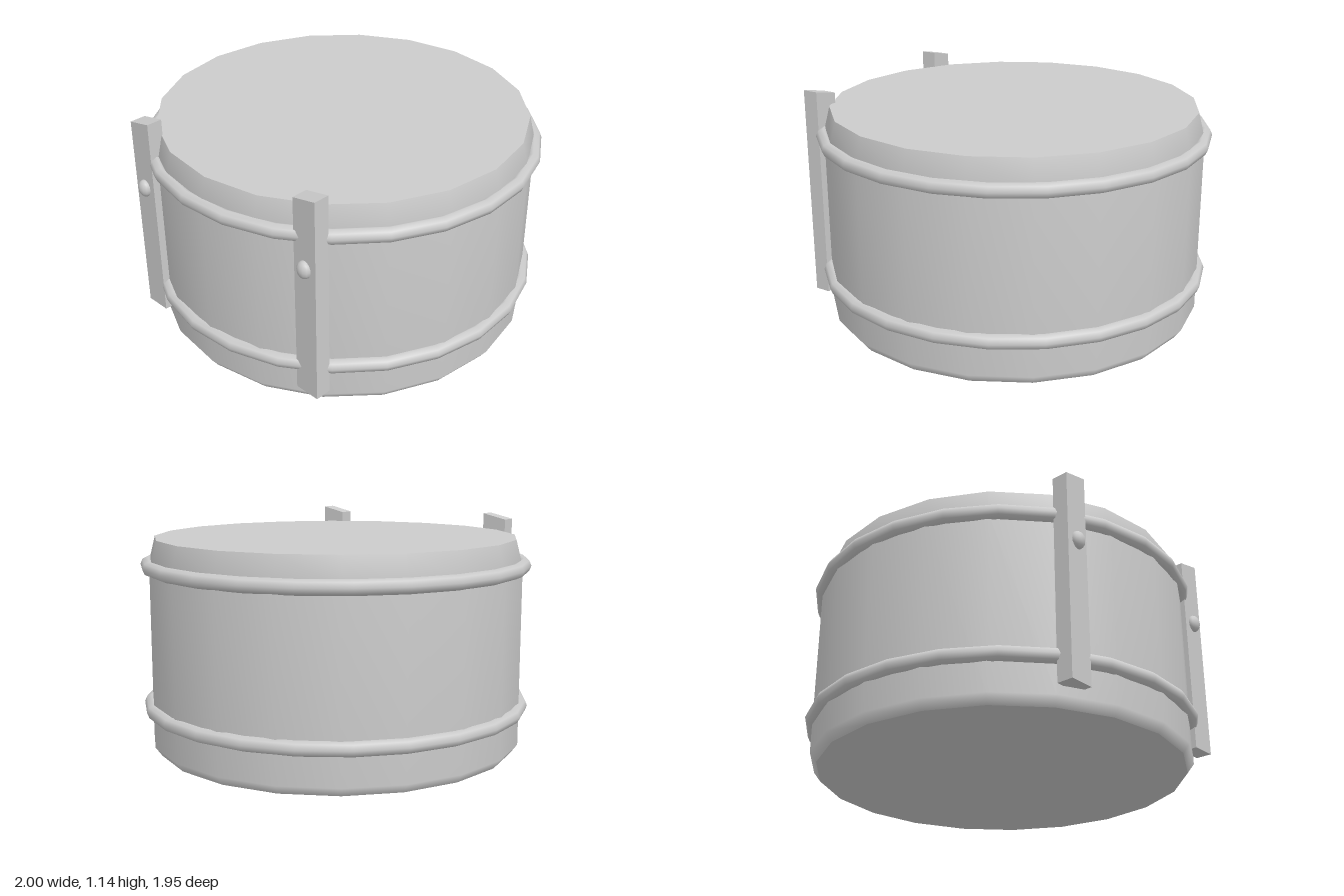
import * as THREE from 'three';

export function createModel() {
  const model = new THREE.Group();
  const grey = new THREE.MeshStandardMaterial({ color: 0xcccccc });
  grey.name = 'grey';

  const add = (parent, name, geometry, x = 0, y = 0, z = 0) => {
    const mesh = new THREE.Mesh(geometry, grey);
    mesh.name = name;
    mesh.position.set(x, y, z);
    parent.add(mesh);
    return mesh;
  };

  // Drum: smooth shell with bevelled rims, closed by flat heads
  const drum = new THREE.Group();
  drum.name = 'drum';
  drum.position.x = 0.025;
  model.add(drum);
  const sides = 20, bottomR = 0.905, topR = 0.905;
  const profile = [[bottomR, 0], [0.938, 0.045], [0.938, 0.93], [topR, 1.06]]
    .map(([r, y]) => new THREE.Vector2(r, y));
  add(drum, 'shell', new THREE.LatheGeometry(profile, sides));
  add(drum, 'topHead', new THREE.CircleGeometry(topR, sides).rotateX(-Math.PI / 2), 0, 1.06, 0);
  add(drum, 'bottomHead', new THREE.CircleGeometry(bottomR, sides).rotateX(Math.PI / 2));

  // Two rounded hoops around the shell
  for (const [name, y] of [['lowerHoop', 0.222], ['upperHoop', 0.925]]) {
    add(drum, name, new THREE.TorusGeometry(0.938, 0.036, 8, 24).rotateX(Math.PI / 2), 0, y, 0);
  }

  // Upright posts with slanted tops, each with a round knob on its side
  const outline = new THREE.Shape([[-0.065, 0.09], [0.065, 0.09], [0.065, 1.14], [-0.065, 1.112]]
    .map(([u, y]) => new THREE.Vector2(u, y)));
  const postGeometry = new THREE.ExtrudeGeometry(outline, { depth: 0.08, bevelEnabled: false });
  postGeometry.translate(0, 0, -0.04);
  const knobGeometry = new THREE.SphereGeometry(0.044, 12, 8).scale(0.85, 1, 0.7);

  for (const [name, x, z] of [['sidePost', -0.927, 0.075], ['frontPost', -0.305, 0.893]]) {
    const post = new THREE.Group();
    post.name = name;
    post.position.set(x, 0, z);
    post.rotation.y = -0.98;
    add(post, 'post', postGeometry);
    add(post, 'knob', knobGeometry, 0, 0.78, 0.043);
    model.add(post);
  }
  return model;
}
